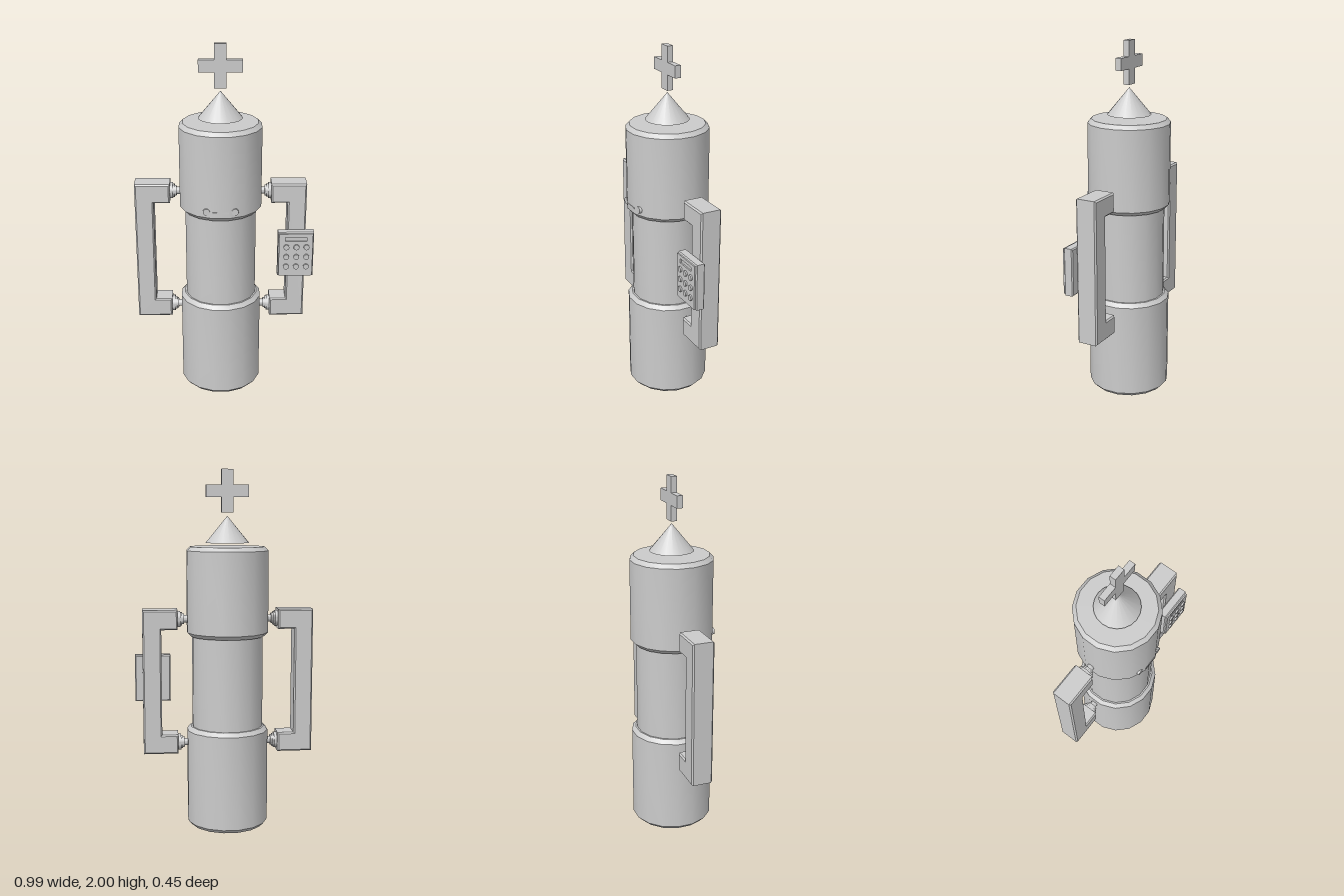
import * as THREE from 'three';
import { toCreasedNormals } from 'three/addons/utils/BufferGeometryUtils.js';

const CX = -0.023, CZ = -0.004; // axis of the body

export function createModel() {
  const model = new THREE.Group();
  const material = new THREE.MeshStandardMaterial({ color: 0xcccccc });

  const add = (name, geometry, x = 0, y = 0, z = 0) => {
    const mesh = new THREE.Mesh(geometry, material);
    mesh.name = name;
    mesh.position.set(x, y, z);
    model.add(mesh);
    return mesh;
  };
  const lathe = (points, sides) => toCreasedNormals(
    new THREE.LatheGeometry(points.map(p => new THREE.Vector2(...p)), sides, Math.PI / sides), 0.6);
  const polygon = points => new THREE.Shape(points.map(p => new THREE.Vector2(...p)));
  const rect = (Type, x0, y0, x1, y1) =>
    new Type([[x0, y0], [x1, y0], [x1, y1], [x0, y1]].map(p => new THREE.Vector2(...p)));
  // Extrusion from z0 to z1 with a small chamfer inside the outline
  const slab = (shape, z0, z1, b) => new THREE.ExtrudeGeometry(shape, {
    depth: z1 - z0 - 2 * b, bevelEnabled: b > 0, bevelSize: b, bevelThickness: b,
    bevelOffset: -b, bevelSegments: 1, curveSegments: 8,
  }).translate(0, 0, z0 + b);

  // Body: two chamfered drums joined by a narrower core
  const drum = (y0, y1) => {
    const R = 0.229, r = 0.208, c = 0.022;
    return lathe([[0, y0], [r, y0], [R, y0 + c], [R, y1 - c], [r, y1], [0, y1]], 16);
  };
  add('lowerDrum', drum(0, 0.572), CX, 0, CZ);
  add('upperDrum', drum(1.084, 1.58), CX, 0, CZ);
  add('core', lathe([[0.199, 0.54], [0.199, 1.12]], 16), CX, 0, CZ);

  // Floating cone and cross on top
  add('coneTip', new THREE.ConeGeometry(0.121, 0.147, 20), CX, 1.6735, CZ);
  const a = 0.118, w = 0.033;
  add('cross', slab(polygon([
    [-w, -a], [w, -a], [w, -w], [a, -w], [a, w], [w, w],
    [w, a], [-w, a], [-w, w], [-a, w], [-a, -w], [-w, -w],
  ]), -0.017, 0.017, 0), CX, 1.885 - 0.003, CZ);

  // Small face at the lower edge of the upper drum
  for (const side of [-1, 1]) {
    const eye = new THREE.CylinderGeometry(0.019, 0.019, 0.06, 16).rotateX(Math.PI / 2);
    add(side < 0 ? 'rightEye' : 'leftEye', eye, CX + side * 0.077, 1.139, 0.185);
  }
  add('mouth', new THREE.BoxGeometry(0.09, 0.01, 0.05), CX, 1.136, 0.198);

  // C-shaped side handles with stepped joints
  const jointProfile = [
    [0, -0.01], [0.045, -0.01], [0.045, 0.016], [0.037, 0.016], [0.037, 0.026],
    [0.03, 0.026], [0.03, 0.036], [0.02, 0.036], [0.02, 0.075],
  ];
  for (const side of [-1, 1]) {
    const label = side < 0 ? 'right' : 'left';
    const outline = [
      [0.28, 0.425], [0.475, 0.425], [0.475, 1.235], [0.28, 1.235],
      [0.28, 1.125], [0.371, 1.125], [0.371, 0.533], [0.28, 0.533],
    ].map(([x, y]) => [side * x, y]);
    add(label + 'Handle', slab(polygon(outline), -0.071, 0.049, 0.008), CX);
    for (const y of [0.479, 1.181]) {
      const joint = lathe(jointProfile, 16).rotateZ(side * Math.PI / 2);
      add(label + 'Joint', joint, CX + side * 0.28, y, -0.011);
    }
  }

  // Keypad on the left handle, with a display slot and nine buttons
  add('keypadBase', slab(rect(THREE.Shape, 0.295, 0.705, 0.495, 0.97), 0.047, 0.1, 0.006));
  const plate = rect(THREE.Shape, 0.301, 0.711, 0.489, 0.964);
  plate.holes.push(rect(THREE.Path, 0.335, 0.92, 0.455, 0.944));
  add('keypadFace', slab(plate, 0.099, 0.108, 0));
  for (let row = 0; row < 3; row++) {
    for (let col = 0; col < 3; col++) {
      const button = new THREE.CylinderGeometry(0.016, 0.016, 0.016, 14).rotateX(Math.PI / 2);
      add('button', button, 0.342 + col * 0.056, 0.768 + row * 0.059, 0.109);
    }
  }
  return model;
}
